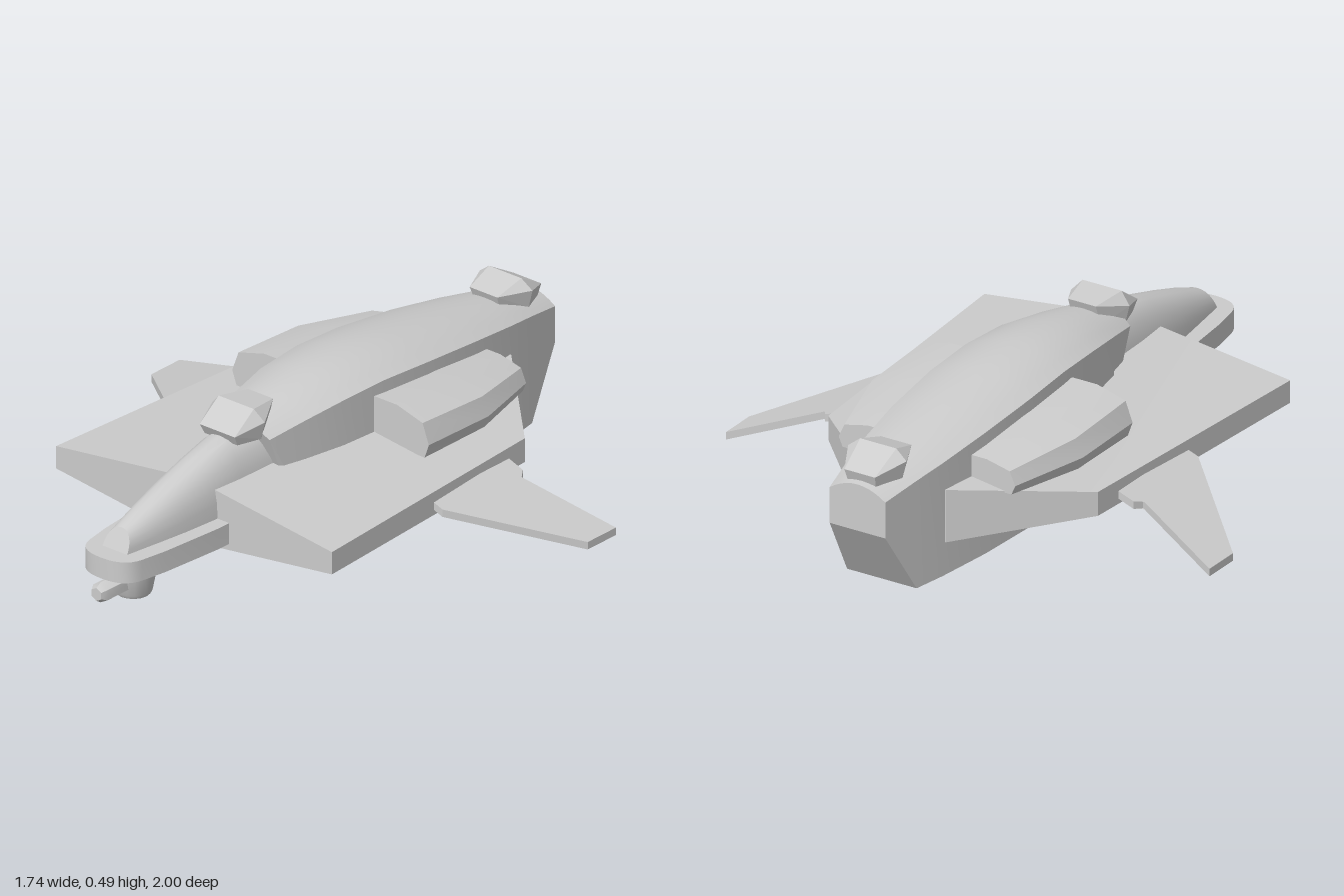
import * as THREE from 'three';
import { toCreasedNormals } from 'three/addons/utils/BufferGeometryUtils.js';
import { ConvexGeometry } from 'three/addons/geometries/ConvexGeometry.js';

// Skin a list of equal-length rings and close both ends
function loft(rings, crease = 0.5) {
  const pos = [];
  const n = rings[0].length;
  const tri = (...p) => p.forEach((v) => pos.push(...v));
  for (let i = 0; i < rings.length - 1; i++) {
    for (let j = 0; j < n; j++) {
      const k = (j + 1) % n;
      const a = rings[i][j], b = rings[i][k], c = rings[i + 1][k], d = rings[i + 1][j];
      tri(a, b, c);
      tri(a, c, d);
    }
  }
  const cap = (ring, flip) => {
    const mid = [0, 1, 2].map((q) => ring.reduce((s, p) => s + p[q], 0) / n);
    ring.forEach((p, j) => {
      const next = ring[(j + 1) % n];
      if (flip) tri(mid, next, p);
      else tri(mid, p, next);
    });
  };
  cap(rings[0], true);
  cap(rings[rings.length - 1], false);
  const g = new THREE.BufferGeometry();
  g.setAttribute('position', new THREE.Float32BufferAttribute(pos, 3));
  return toCreasedNormals(g, crease);
}

const mirror = (rings) => rings.map((r) => r.map(([x, y, z]) => [-x, y, z]).reverse());

export function createModel() {
  const group = new THREE.Group();
  const mat = new THREE.MeshStandardMaterial({ color: 0xcccccc });
  const add = (name, geometry) => {
    const mesh = new THREE.Mesh(geometry, mat);
    mesh.name = name;
    group.add(mesh);
    return mesh;
  };
  const addPair = (name, rings) => {
    add(name + 'Left', loft(rings));
    add(name + 'Right', loft(mirror(rings)));
  };

  // Main hull with keel: z, half width, bottom, shoulder, top
  const hullStations = [
    [-1, 0.1, 0.215, 0.335, 0.37], [-0.865, 0.125, 0, 0.36, 0.396],
    [-0.75, 0.145, 0, 0.378, 0.416], [-0.55, 0.168, 0, 0.405, 0.447],
    [-0.32, 0.18, 0, 0.428, 0.477], [-0.13, 0.177, 0.1, 0.44, 0.492],
    [0.05, 0.166, 0.13, 0.434, 0.484], [0.2, 0.143, 0.13, 0.415, 0.462],
    [0.33, 0.115, 0.13, 0.39, 0.433],
  ];
  add('hull', loft(hullStations.map(([z, w, low, shoulder, top], s) => {
    const ring = [[-w, low, z], [w, low, z]];
    for (let i = 0; i <= 10; i++) {
      const u = 1 - i / 5;
      ring.push([w * u, shoulder + (top - shoulder) * (1 - u * u), z]);
    }
    // the front edge leans forward
    if (s === hullStations.length - 1) ring.forEach((p) => { p[2] += (p[1] - 0.38) * 0.4; });
    return ring;
  })));

  // Tapered, domed nose: z, half width, top; last station is the slanted tip
  const noseStations = [
    [0.15, 0.105, 0.43], [0.44, 0.1, 0.405], [0.56, 0.094, 0.373],
    [0.68, 0.083, 0.337], [0.79, 0.068, 0.301], [0.9, 0.05, 0.265],
  ];
  add('nose', loft(noseStations.map(([z, w, top], s) => {
    const ring = [];
    for (let i = 0; i <= 12; i++) {
      const t = (i / 12) * Math.PI;
      const c = Math.cos(t);
      const y = 0.19 + (top - 0.19) * Math.sin(t) ** 0.85;
      const slant = s === noseStations.length - 1 ? (0.23 - y) * 0.5 : 0;
      ring.push([w * Math.sign(c) * Math.abs(c) ** 0.85, y, z + slant]);
    }
    return ring;
  })));

  // Flat rounded chin deck below the nose
  const deck = new THREE.Shape();
  deck.moveTo(-0.145, -0.2);
  deck.lineTo(0.145, -0.2);
  deck.lineTo(0.14, -0.6);
  deck.lineTo(0.12, -0.82);
  deck.lineTo(0.105, -0.91);
  deck.bezierCurveTo(0.095, -0.96, 0.06, -0.98, 0, -0.98);
  deck.bezierCurveTo(-0.06, -0.98, -0.095, -0.96, -0.105, -0.91);
  deck.lineTo(-0.12, -0.82);
  deck.lineTo(-0.14, -0.6);
  const deckGeo = new THREE.ExtrudeGeometry(deck, { depth: 0.07, bevelEnabled: false, curveSegments: 8 });
  deckGeo.rotateX(-Math.PI / 2).translate(0, 0.13, 0);
  add('chinDeck', toCreasedNormals(deckGeo, 0.5));

  // Wedge wings, thick at the root and thin at the tip
  addPair('wing', [
    [[0.07, 0.1, 0.55], [0.07, 0.1, -0.74], [0.07, 0.295, -0.74], [0.07, 0.295, 0.55]],
    [[0.15, 0.11, 0.55], [0.15, 0.11, -0.74], [0.15, 0.285, -0.74], [0.15, 0.285, 0.55]],
    [[0.55, 0.16, 0.55], [0.485, 0.155, -0.415], [0.485, 0.235, -0.415], [0.55, 0.235, 0.55]],
  ]);

  // Drooping swept winglets
  const finPlan = [
    [0.5, 0.04], [0.55, 0.04], [0.87, -0.26], [0.87, -0.39],
    [0.57, -0.295], [0.555, -0.325], [0.5, -0.325],
  ];
  addPair('winglet', [-0.025, 0].map((dy) =>
    finPlan.map(([x, z]) => [x, 0.187 - (x - 0.55) * 0.37 + dy, z])));

  // Shoulder pods: z, outer width factor, top height
  addPair('sidePod', [[-0.615, 0.81, 0.355], [-0.355, 1, 0.385], [-0.08, 1, 0.402]].map(([z, k, top]) => {
    const low = 0.26;
    const h = top - low;
    return [
      [0.1, low, z], [0.375 * k, low, z], [0.392 * k, low + h * 0.33, z],
      [0.367 * k, low + h * 0.8, z], [0.265 * k, top, z], [0.1, top, z],
    ];
  }));

  // Faceted blocks on the spine
  const block = (name, half) => {
    const pts = half.flatMap(([x, y, z]) => [new THREE.Vector3(x, y, z), new THREE.Vector3(-x, y, z)]);
    add(name, new ConvexGeometry(pts));
  };
  block('frontTurret', [
    [0.05, 0.475, 0.243], [0.07, 0.488, 0.355], [0.105, 0.45, 0.345],
    [0.07, 0.425, 0.443], [0.065, 0.39, 0.425], [0.05, 0.4, 0.27], [0.09, 0.39, 0.345],
  ]);
  block('rearTurret', [
    [0.055, 0.43, -0.785], [0.065, 0.461, -0.885], [0.105, 0.43, -0.89],
    [0.055, 0.402, -0.988], [0.05, 0.36, -0.975], [0.05, 0.39, -0.8], [0.09, 0.37, -0.89],
  ]);

  // Chin turret: tapered cup with a hexagonal barrel
  const cup = new THREE.LatheGeometry(
    [[0, 0.03], [0.053, 0.03], [0.06, 0.042], [0.073, 0.11], [0.084, 0.115], [0.084, 0.135], [0, 0.135]]
      .map(([r, y]) => new THREE.Vector2(r, y)), 16);
  cup.translate(0, 0, 0.83);
  add('chinTurret', toCreasedNormals(cup, 0.5));
  const barrel = new THREE.LatheGeometry(
    [[0, 0], [0.034, 0], [0.034, 0.13], [0.022, 0.15], [0, 0.15]]
      .map(([r, y]) => new THREE.Vector2(r, y)), 6);
  barrel.rotateX(Math.PI / 2).translate(0, 0.083, 0.85);
  add('chinBarrel', toCreasedNormals(barrel, 0.5));

  return group;
}
